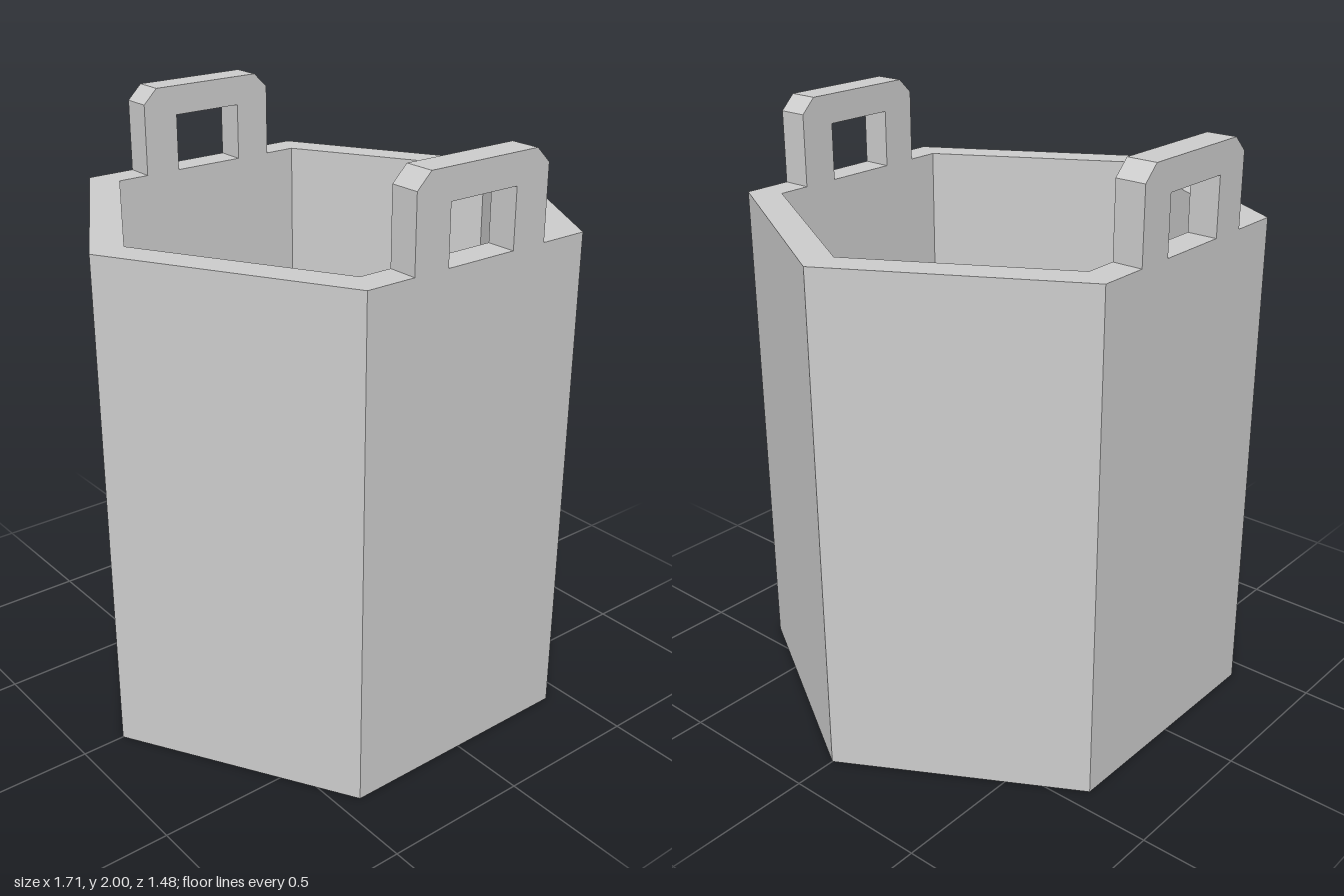
import * as THREE from 'three';

const R = 0.853;          // outer corner radius of the hexagon
const r = 0.736;          // inner corner radius
const RIM = 1.707;        // height of the rim
const FLOOR = 0.1;        // floor thickness
const APOTHEM = Math.cos(Math.PI / 6);

export function createModel() {
  const model = new THREE.Group();
  model.name = 'hexagonalBucket';
  const material = new THREE.MeshStandardMaterial({ color: 0xcccccc, flatShading: true });

  // Hollow six-sided body: outside wall, rim, inside wall and floor in one profile
  const profile = [[0, 0], [R, 0], [R, RIM], [r, RIM], [r, FLOOR], [0, FLOOR]]
    .map(([x, y]) => new THREE.Vector2(x, y));
  const body = new THREE.Mesh(new THREE.LatheGeometry(profile, 6, Math.PI / 2), material);
  body.name = 'body';
  model.add(body);

  // Chamfered arch that stands on the rim, flush with both wall faces
  const arch = new THREE.Shape([
    [-0.256, RIM], [-0.128, RIM], [-0.128, 1.9], [0.128, 1.9], [0.128, RIM], [0.256, RIM],
    [0.256, 1.95], [0.205, 2], [-0.205, 2], [-0.256, 1.95],
  ].map(([x, y]) => new THREE.Vector2(x, y)));
  const depth = (R - r) * APOTHEM;
  const handleGeometry = new THREE.ExtrudeGeometry(arch, { depth, bevelEnabled: false });
  handleGeometry.translate(0, 0, r * APOTHEM);

  // One handle at the front, one turned round to the back
  for (const [name, angle] of [['frontHandle', 0], ['backHandle', Math.PI]]) {
    const handle = new THREE.Mesh(handleGeometry, material);
    handle.name = name;
    handle.rotation.y = angle;
    model.add(handle);
  }
  return model;
}
